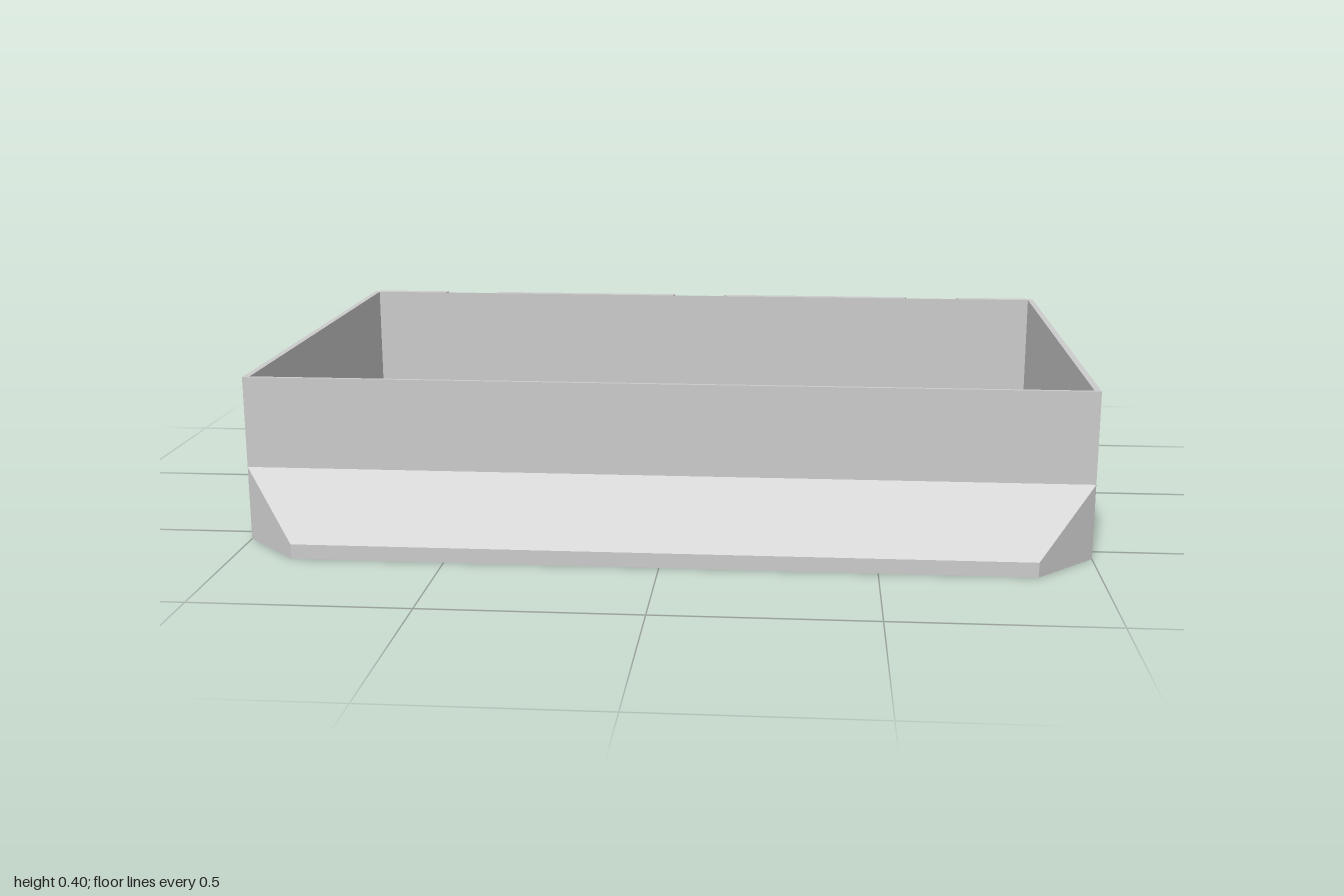
import * as THREE from 'three';

const H = 0.4, BACK = -0.695, FRONT = 0.555, FLOOR = 0.02;
const CLIPS = [-0.7, 0, 0.7];
const material = new THREE.MeshStandardMaterial({ color: 0xcccccc, side: THREE.DoubleSide });
const v2 = (pts) => pts.map(([x, y]) => new THREE.Vector2(x, y));

function add(parent, name, geometry) {
  const mesh = new THREE.Mesh(geometry, material);
  mesh.name = name;
  parent.add(mesh);
  return mesh;
}

// Flat polygon in the XY plane, with optional holes
function face(points, holes = []) {
  const shape = new THREE.Shape(v2(points));
  shape.holes = holes.map((h) => new THREE.Path(v2(h)));
  return new THREE.ShapeGeometry(shape);
}

// Strip of flat quads between two matching rows of 3D points
function loft(a, b, closed = false) {
  const pos = [];
  const n = a.length;
  for (let i = 0; i < (closed ? n : n - 1); i++) {
    const j = (i + 1) % n;
    pos.push(...a[i], ...a[j], ...b[j], ...a[i], ...b[j], ...b[i]);
  }
  const g = new THREE.BufferGeometry();
  g.setAttribute('position', new THREE.Float32BufferAttribute(pos, 3));
  g.computeVertexNormals();
  return g;
}

// Shrink a counter-clockwise convex polygon by distance d
function inset(points, d) {
  const p = v2(points), n = p.length;
  return p.map((c, i) => {
    const e = c.clone().sub(p[(i + n - 1) % n]).normalize();
    const f = p[(i + 1) % n].clone().sub(c).normalize();
    const ne = new THREE.Vector2(-e.y, e.x), nf = new THREE.Vector2(-f.y, f.x);
    const m = ne.clone().add(nf).multiplyScalar(d / (1 + ne.dot(nf)));
    return [c.x + m.x, c.y + m.y];
  });
}

const atZ = (pts, z) => pts.map(([x, y]) => [x, y, z]);

// Wall facing local +z, with bevelled pockets pressed into it
function pocketWall(name, outline, pockets, depth, bevel) {
  const wall = new THREE.Group();
  wall.name = name;
  const loops = pockets.map((p) => (THREE.ShapeUtils.isClockWise(v2(p)) ? [...p].reverse() : p));
  add(wall, 'wallFace', face(outline, loops));
  for (const loop of loops) {
    const inner = inset(loop, bevel);
    add(wall, 'pocketBevel', loft(atZ(loop, 0), atZ(inner, -depth), true));
    add(wall, 'pocketFloor', face(inner)).position.z = -depth;
  }
  return wall;
}

export function createModel() {
  const bin = new THREE.Group();
  bin.name = 'openBin';

  // Side walls, each with two shallow angular panels (u runs from front to back)
  const sidePanels = [
    [[-0.54, 0.305], [-0.25, 0.02], [0.085, 0.02], [0.16, 0.095], [0.16, 0.38], [-0.465, 0.38]],
    [[0.197, 0.02], [0.59, 0.02], [0.663, 0.095], [0.663, 0.38], [0.275, 0.38], [0.197, 0.305]],
  ];
  const sideOutline = [[-FRONT, 0], [0.68, 0], [0.68, H], [-FRONT, H]];
  for (const s of [1, -1]) {
    const flip = (pts) => pts.map(([u, y]) => [s * u, y]);
    const wall = pocketWall(s > 0 ? 'leftWall' : 'rightWall', flip(sideOutline), sidePanels.map(flip), 0.006, 0.006);
    wall.rotation.y = (s * Math.PI) / 2;
    wall.position.x = s;
    bin.add(wall);

    // Chamfered rear corner
    const edge = [[s, -0.68], [s * 0.98, BACK]];
    if (s < 0) edge.reverse();
    add(bin, 'rearCorner', loft(edge.map(([x, z]) => [x, 0, z]), edge.map(([x, z]) => [x, H, z])));
  }

  // Back wall: four deep pockets and three dovetail slots open at the rim
  const slotY = 0.235, slotDepth = 0.02;
  const backPockets = [[-0.965, -0.8], [-0.61, -0.09], [0.09, 0.61], [0.8, 0.965]].map(([a, b]) => {
    const c = 0.07;
    return [[a, 0.025], [b - c, 0.025], [b, 0.025 + c], [b, 0.37], [a + c, 0.37], [a, 0.37 - c]];
  });
  const slot = (c, w) => [[c - w, H], [c - w, slotY], [c + w, slotY], [c + w, H]];
  const backOutline = [[0.98, H], [0.98, 0], [-0.98, 0], [-0.98, H], ...CLIPS.flatMap((c) => slot(c, 0.075))];
  const back = pocketWall('backWall', backOutline, backPockets, slotDepth, 0.025);
  for (const c of CLIPS) {
    add(back, 'slotSides', loft(atZ(slot(c, 0.075), 0), atZ(slot(c, 0.08), -slotDepth)));
    add(back, 'slotFloor', face(slot(c, 0.08))).position.z = -slotDepth;
    add(back, 'slotCatch', new THREE.BoxGeometry(0.06, 0.03, 0.008)).position.set(c, 0.265, -slotDepth + 0.004);
  }
  back.rotation.y = Math.PI;
  back.position.z = BACK;
  bin.add(back);

  // Front wall
  add(bin, 'frontWall', face([[-1, 0], [1, 0], [1, H], [-1, H]])).position.z = FRONT;

  // Rim, notched where the slots meet it
  const inside = [[-0.985, 0.545], [0.985, 0.545], [0.985, -0.67], [-0.985, -0.67]];
  const rimOutline = [
    [-1, -FRONT], [1, -FRONT], [1, 0.68], [0.98, -BACK],
    ...[...CLIPS].reverse().flatMap((c) => [
      [c + 0.075, -BACK], [c + 0.08, -BACK - slotDepth], [c - 0.08, -BACK - slotDepth], [c - 0.075, -BACK],
    ]),
    [-0.98, -BACK], [-1, 0.68],
  ];
  const rim = face(rimOutline, [inside.map(([x, z]) => [x, -z])]).rotateX(-Math.PI / 2);
  add(bin, 'rim', rim).position.y = H;

  // Inner walls, floor and underside
  const ring = (y) => inside.map(([x, z]) => [x, y, z]);
  add(bin, 'innerWalls', loft(ring(H), ring(FLOOR), true));
  const floor = face(inside.map(([x, z]) => [x, -z])).rotateX(-Math.PI / 2);
  add(bin, 'floor', floor).position.y = FLOOR;
  const base = [[-1, FRONT], [1, FRONT], [1, -0.68], [0.98, BACK], [-0.98, BACK], [-1, -0.68]];
  add(bin, 'underside', face(base).rotateX(Math.PI / 2));

  // Sloped front lip with angled ends, hollow underneath
  const lipTop = [[-1, 0.18, FRONT], [-0.86, 0.035, 0.695], [0.86, 0.035, 0.695], [1, 0.18, FRONT]];
  const lipFoot = lipTop.map(([x, , z]) => [x, 0, z]);
  add(bin, 'lipSkirt', loft(lipFoot, lipTop));
  add(bin, 'lipSlope', loft([lipTop[1], lipTop[2]], [lipTop[0], lipTop[3]]));

  return bin;
}
